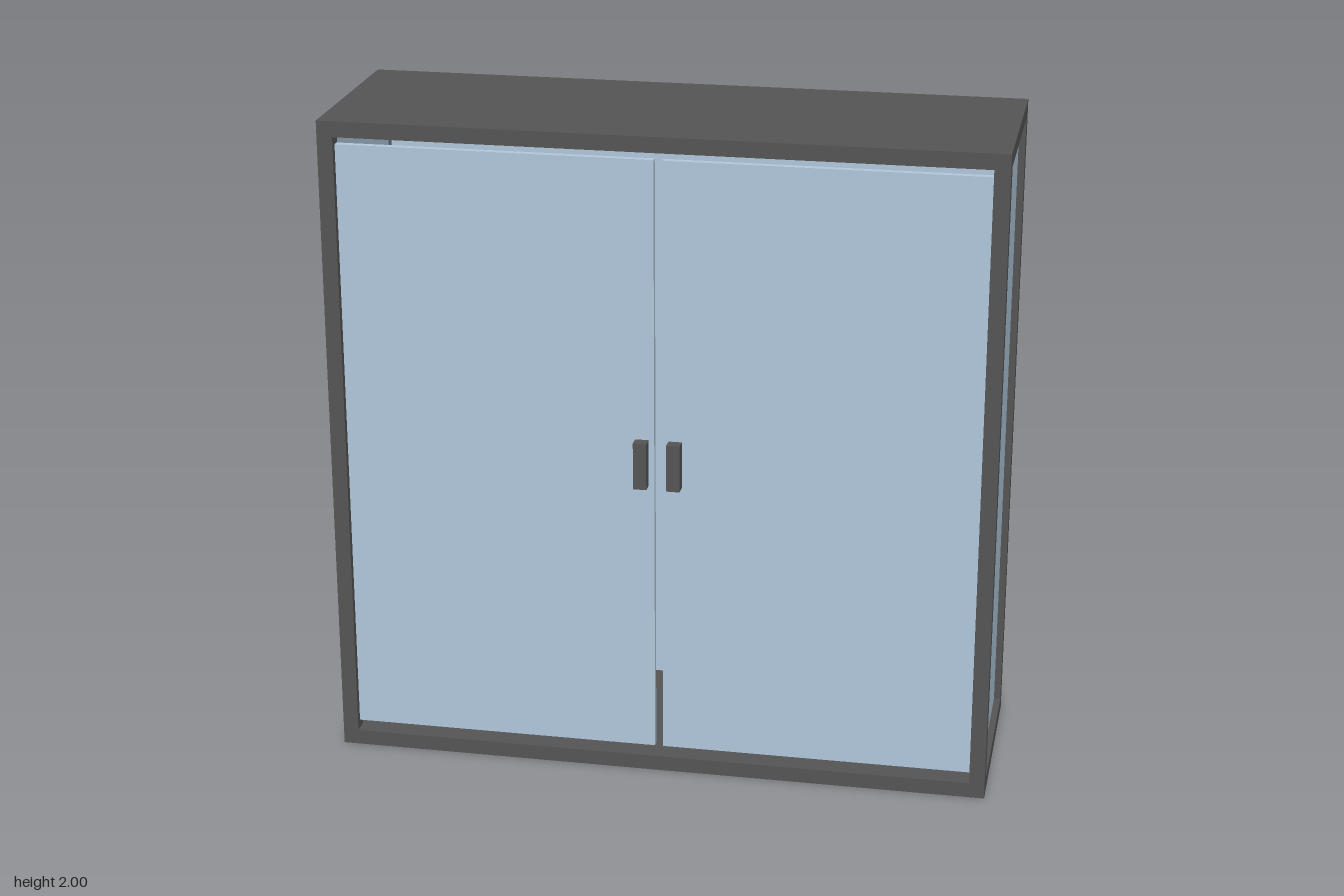
import * as THREE from 'three';

export function createModel() {
  const model = new THREE.Group();
  model.name = 'cabinet';
  const dark = new THREE.MeshStandardMaterial({ color: 0x555555 });
  const blue = new THREE.MeshStandardMaterial({ color: 0xb0c8dc });

  // Box given by its lower and upper limits on each axis
  const box = (name, material, [x0, x1], [y0, y1], [z0, z1]) => {
    const mesh = new THREE.Mesh(new THREE.BoxGeometry(x1 - x0, y1 - y0, z1 - z0), material);
    mesh.position.set((x0 + x1) / 2, (y0 + y1) / 2, (z0 + z1) / 2);
    mesh.name = name;
    model.add(mesh);
  };
  const mirrored = (side, [a, b]) => (side > 0 ? [a, b] : [-b, -a]);

  const H = 2, F = 0.047;             // height and frame width
  const back = -0.325, front = 0.31;  // frame depth limits
  const recess = 0.02, panel = 0.02;  // panel inset and thickness
  const inner = [F, H - F];

  // Solid top and bottom slabs
  box('bottomSlab', dark, [-1, 1], [0, F], [back, front]);
  box('topSlab', dark, [-1, 1], [H - F, H], [back, front]);

  // Back panel between the rear posts
  box('backPanel', blue, [-1 + F, 1 - F], inner, [back + recess, back + recess + panel]);

  for (const side of [1, -1]) {
    const label = side > 0 ? 'left' : 'right';
    // Corner posts and side panel
    box(label + 'FrontPost', dark, mirrored(side, [1 - F, 1]), inner, [front - F, front]);
    box(label + 'BackPost', dark, mirrored(side, [1 - F, 1]), inner, [back, back + F]);
    box(label + 'SidePanel', blue, mirrored(side, [1 - recess - panel, 1 - recess]), inner,
      [back + F, front - F]);
    // Door, with a gap above, below and at the middle, and its handle
    const doorFront = front - recess;
    box(label + 'Door', blue, mirrored(side, [0.0125, 1 - F]), [0.073, 1.927],
      [doorFront - panel, doorFront]);
    box(label + 'Handle', dark, mirrored(side, [0.03, 0.07]), [0.93, 1.075], [doorFront, 0.325]);
  }
  return model;
}
